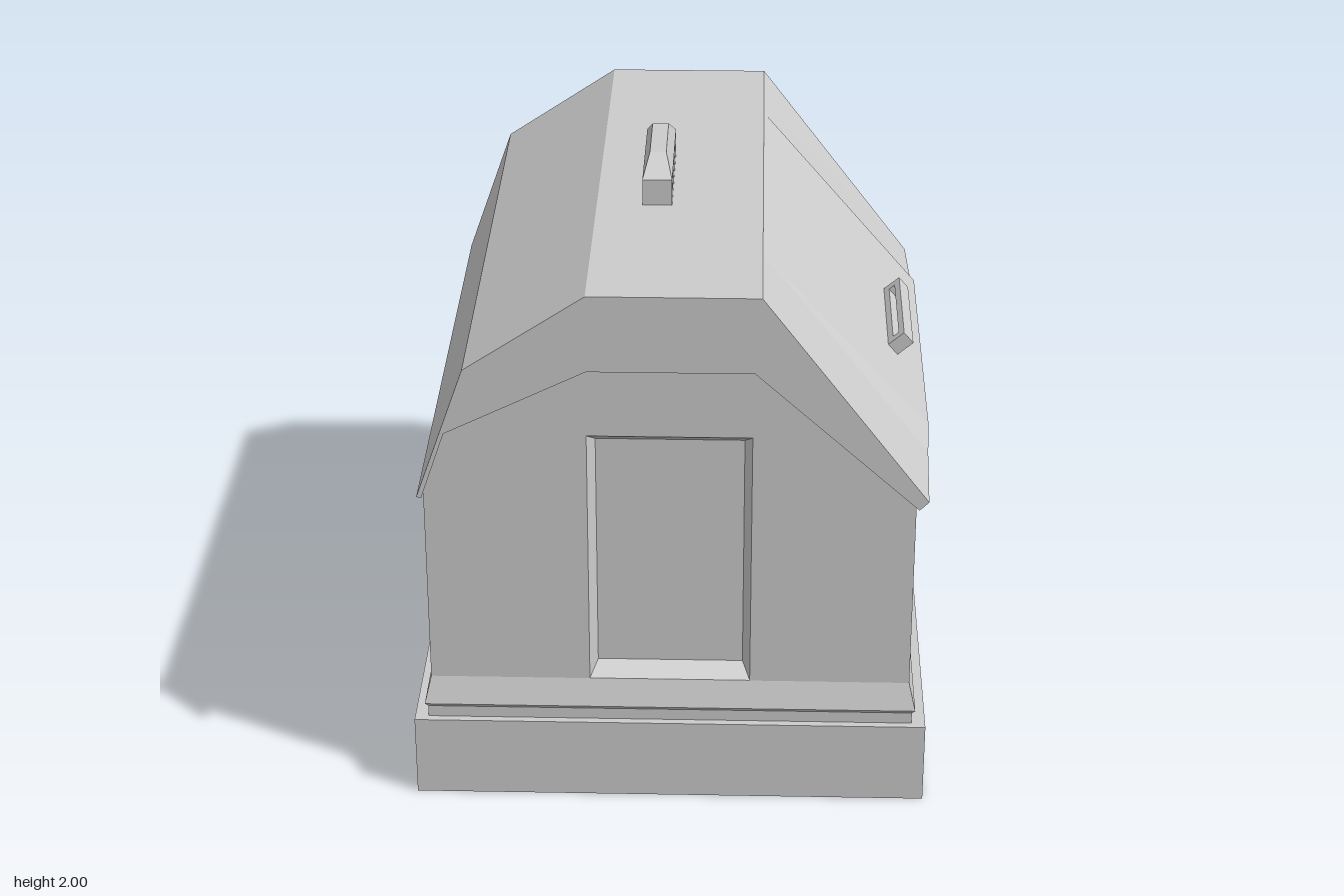
import * as THREE from 'three';

const material = new THREE.MeshStandardMaterial({ color: 0xcccccc, flatShading: true });

// Skin a stack of equal-length counter-clockwise rings { z, pts: [[x, y], ...] }
function loft(rings, capStart = true, capEnd = true) {
  const pos = [];
  const put = (ring, j) => pos.push(...ring.pts[j], ring.z);
  const n = rings[0].pts.length;
  for (let i = 0; i < rings.length - 1; i++) {
    const a = rings[i], b = rings[i + 1];
    for (let j = 0; j < n; j++) {
      const k = (j + 1) % n;
      put(a, j); put(a, k); put(b, k);
      put(a, j); put(b, k); put(b, j);
    }
  }
  const cap = (ring, flip) => {
    const contour = ring.pts.map(([x, y]) => new THREE.Vector2(x, y));
    for (const [a, b, c] of THREE.ShapeUtils.triangulateShape(contour, [])) {
      for (const j of flip ? [c, b, a] : [a, b, c]) put(ring, j);
    }
  };
  if (capStart) cap(rings[0], true);
  if (capEnd) cap(rings[rings.length - 1], false);
  const geo = new THREE.BufferGeometry();
  geo.setAttribute('position', new THREE.Float32BufferAttribute(pos, 3));
  geo.computeVertexNormals();
  return geo;
}

const rect = (x0, x1, y0, y1) => [[x0, y0], [x1, y0], [x1, y1], [x0, y1]];
const toShape = (pts) => new THREE.Shape(pts.map(([x, y]) => new THREE.Vector2(x, y)));

// Stack of centred rectangles [halfWidth, halfDepth, height], standing upright
const stack = (levels) =>
  loft(levels.map(([w, d, y]) => ({ z: y, pts: rect(-w, w, -d, d) }))).rotateX(-Math.PI / 2);

// Slotted grip bar: length along x, height along y, thickness along z, all centred but y
function slottedBar(length, height, thickness, slotLength, slotLow, slotHigh) {
  const shape = toShape(rect(-length / 2, length / 2, 0, height));
  shape.holes.push(toShape(rect(-slotLength / 2, slotLength / 2, slotLow, slotHigh)));
  return new THREE.ExtrudeGeometry(shape, { depth: thickness, bevelEnabled: false })
    .translate(0, 0, -thickness / 2);
}

export function createModel() {
  const model = new THREE.Group();
  const add = (name, geometry, parent = model) => {
    const mesh = new THREE.Mesh(geometry, material);
    mesh.name = name;
    parent.add(mesh);
    return mesh;
  };

  // Base slab with a shallow recess underneath
  add('base', stack([
    [0.81, 0.94, 0.03], [0.81, 0.94, 0], [0.85, 0.98, 0], [0.85, 0.98, 0.285],
  ]));

  // Flared moulding where the walls meet the base
  add('plinth', stack([
    [0.805, 0.955, 0.27], [0.805, 0.955, 0.325], [0.815, 0.967, 0.34], [0.793, 0.935, 0.43],
  ]));

  // Gabled walls, with the door openings cut through both ends
  const wallShape = toShape([
    [-0.793, 0.3], [0.793, 0.3], [0.793, 1.186], [0.27, 1.62],
    [-0.26, 1.62], [-0.712, 1.375], [-0.793, 1.15],
  ]);
  wallShape.holes.push(toShape(rect(-0.265, 0.265, 0.431, 1.34)));
  add('walls', new THREE.ExtrudeGeometry(wallShape, { depth: 1.87, bevelEnabled: false })
    .translate(0, 0, -0.935));

  // Recessed doors with sloping surrounds, front and back
  for (const [name, angle] of [['frontDoor', 0], ['backDoor', Math.PI]]) {
    const door = loft([
      { z: 0.935, pts: rect(-0.265, 0.265, 0.431, 1.34) },
      { z: 0.875, pts: rect(-0.24, 0.24, 0.47, 1.3) },
    ], false, true);
    add(name, door).rotation.y = angle;
  }

  // Roof: one cross-section along z, whose left-hand eave is raised in the middle
  const roofSection = (z, eaveX, eaveY) => ({
    z,
    pts: [
      [-0.81, 1.135], [-0.795, 1.13], [-0.715, 1.365], [-0.26, 1.59], [0.27, 1.59],
      [eaveX - 0.03, eaveY - 0.03], [eaveX, eaveY],
      [0.29, 1.85], [-0.26, 1.85], [-0.65, 1.59],
    ],
  });
  add('roof', loft([
    roofSection(-0.98, 0.83, 1.14), roofSection(-0.64, 0.842, 1.14),
    roofSection(-0.57, 0.845, 1.2), roofSection(0.57, 0.845, 1.2),
    roofSection(0.64, 0.842, 1.14), roofSection(0.98, 0.83, 1.14),
  ]));

  // Carrying handle on the ridge: slotted bar with a tapered top
  const topHandle = new THREE.Group();
  topHandle.name = 'topHandle';
  topHandle.position.set(-0.06, 1.85, 0.043);
  topHandle.rotation.y = Math.PI / 2;
  add('topHandleBar', slottedBar(0.444, 0.09, 0.098, 0.375, 0.028, 0.068), topHandle);
  add('topHandleCap', stack([[0.222, 0.049, 0.09], [0.125, 0.027, 0.15]]), topHandle);
  model.add(topHandle);

  // Smaller handle standing square to the left roof slope
  const slope = Math.atan2(0.65, 0.555);
  const sideHandle = new THREE.Group();
  sideHandle.name = 'sideHandle';
  sideHandle.position.set(0.734, 1.33, 0.043);
  sideHandle.rotation.z = -slope;
  const bar = add('sideHandleBar', slottedBar(0.444, 0.068, 0.05, 0.375, 0.022, 0.046), sideHandle);
  bar.rotation.y = Math.PI / 2;
  model.add(sideHandle);

  return model;
}
